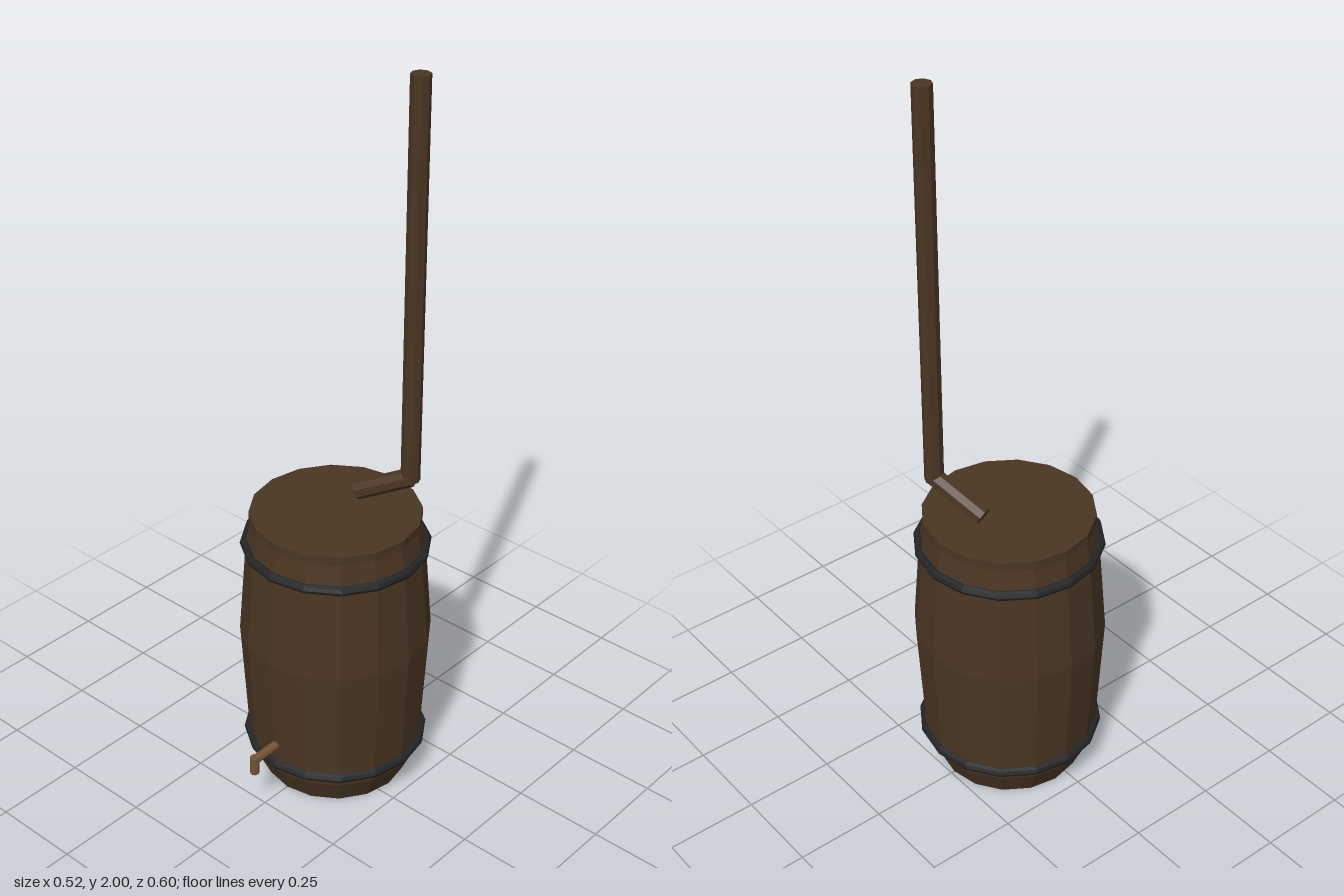
import * as THREE from 'three';

const mat = (name, color, side = THREE.FrontSide) => {
  const m = new THREE.MeshStandardMaterial({ color, flatShading: true, side });
  m.name = name;
  return m;
};

export function createModel() {
  const wood = mat('dark wood', 0x4a3623);
  const iron = mat('black iron', 0x222426);
  const brass = mat('tap brown', 0x755433);

  const model = new THREE.Group();
  model.name = 'barrelWithPipe';
  const SIDES = 16;

  const add = (parent, name, geometry, material) => {
    const mesh = new THREE.Mesh(geometry, material);
    mesh.name = name;
    parent.add(mesh);
    return mesh;
  };

  // Straight round bar between two points
  const bar = (parent, name, a, b, radius, material) => {
    const from = new THREE.Vector3(...a), to = new THREE.Vector3(...b);
    const dir = to.clone().sub(from);
    const mesh = add(parent, name, new THREE.CylinderGeometry(radius, radius, dir.length(), 8), material);
    mesh.position.copy(from).add(to).multiplyScalar(0.5);
    mesh.quaternion.setFromUnitVectors(new THREE.Vector3(0, 1, 0), dir.normalize());
    return mesh;
  };

  // Barrel sits slightly behind the centre because the tap sticks out in front
  const barrel = new THREE.Group();
  barrel.name = 'barrel';
  barrel.position.z = -0.04;
  model.add(barrel);

  const profile = [[0, 0], [0.2, 0], [0.234, 0.075], [0.241, 0.12], [0.26, 0.45], [0.239, 0.72], [0.226, 0.79], [0, 0.79]]
    .map(([r, y]) => new THREE.Vector2(r, y));
  add(barrel, 'staves', new THREE.LatheGeometry(profile, SIDES), wood);

  const lid = add(barrel, 'lid', new THREE.CylinderGeometry(0.23, 0.23, 0.025, SIDES), wood);
  lid.position.y = 0.8025;

  // Iron hoops
  for (const [name, y] of [['lowerHoop', 0.107], ['upperHoop', 0.721]]) {
    const hoop = add(barrel, name, new THREE.TorusGeometry(0.242, 0.013, 8, SIDES), iron);
    hoop.rotation.x = Math.PI / 2;
    hoop.position.y = y;
  }

  // Tap near the bottom
  const tap = new THREE.Group();
  tap.name = 'tap';
  model.add(tap);
  bar(tap, 'tapStem', [0, 0.173, 0.17], [0, 0.173, 0.288], 0.0125, brass);
  bar(tap, 'tapSpout', [0, 0.13, 0.287], [0, 0.183, 0.287], 0.0125, brass);

  // Cranked pipe rising from the lid
  const pipe = new THREE.Group();
  pipe.name = 'pipe';
  model.add(pipe);
  bar(pipe, 'pipeElbow', [-0.002, 0.835, -0.127], [0.139, 0.908, -0.178], 0.026, wood);
  bar(pipe, 'pipeRiser', [0.137, 0.9, -0.178], [0.137, 2, -0.178], 0.026, wood);

  return model;
}
